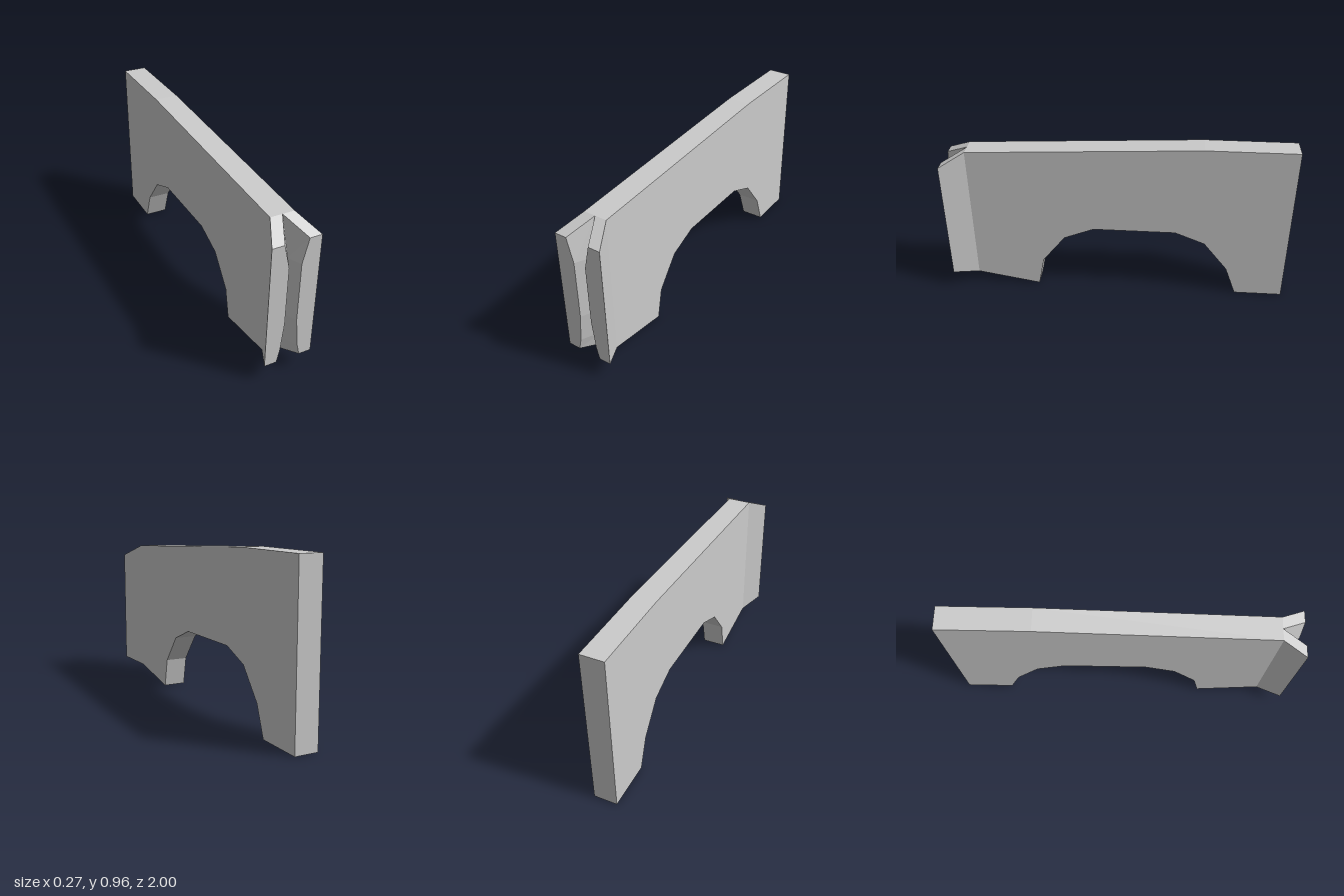
import * as THREE from 'three';

const HALF = 0.068;   // half thickness of the panel
const JOINT = 0.86;   // z where the panel meets the forked front edge

// Flat arched panel, drawn as (z, y) and extruded across x
function panelGeometry() {
  const outline = [
    [-1, 0], [-0.72, 0],
    // arch cut-out
    [-0.655, 0.175], [-0.515, 0.35], [-0.34, 0.42], [0.14, 0.42], [0.315, 0.35], [0.45, 0.18], [0.485, 0.003],
    // front and sloping top
    [JOINT, 0.07], [JOINT, 0.9], [-0.48, 0.965], [-1, 0.965],
  ];
  const shape = new THREE.Shape(outline.map(([z, y]) => new THREE.Vector2(z, y)));
  const geometry = new THREE.ExtrudeGeometry(shape, { depth: 2 * HALF, bevelEnabled: false });
  return geometry.rotateY(-Math.PI / 2).translate(HALF, 0, 0);
}

// Flared front edge with a V groove: horizontal sections joined from bottom to top
function forkGeometry() {
  // [y at the front, y at the joint, half width of groove, z of groove floor]
  const rows = [
    [0.105, 0.07, 0.068, JOINT],
    [0.175, 0.175, 0.052, 0.895],
    [0.345, 0.345, 0.035, 0.93],
    [0.69, 0.69, 0.035, 0.93],
    [0.83, 0.9, 0.068, JOINT],
  ].map(([yf, yb, w, zc]) => [
    [HALF, yb, JOINT], [0.137, yf, 1], [w, yf, 1],
    [0, yb, zc],
    [-w, yf, 1], [-0.137, yf, 1], [-HALF, yb, JOINT],
  ]);
  const positions = [];
  const quad = (a, b, c, d) => positions.push(...a, ...b, ...c, ...a, ...c, ...d);

  for (let j = 0; j < rows.length - 1; j++) {
    const low = rows[j], up = rows[j + 1];
    for (let i = 0; i < 6; i++) quad(low[i + 1], low[i], up[i], up[i + 1]);
  }
  // Sloping end caps, one per prong
  const bottom = rows[0], top = rows[rows.length - 1];
  for (const i of [0, 3]) {
    quad(top[i + 3], top[i + 2], top[i + 1], top[i]);
    quad(bottom[i], bottom[i + 1], bottom[i + 2], bottom[i + 3]);
  }
  const geometry = new THREE.BufferGeometry();
  geometry.setAttribute('position', new THREE.Float32BufferAttribute(positions, 3));
  geometry.computeVertexNormals();
  return geometry;
}

export function createModel() {
  const group = new THREE.Group();
  group.name = 'archedPanel';
  const material = new THREE.MeshStandardMaterial({ color: 0xcccccc, flatShading: true });
  const add = (name, geometry) => {
    const mesh = new THREE.Mesh(geometry, material);
    mesh.name = name;
    group.add(mesh);
  };
  add('panel', panelGeometry());
  add('forkedFrontEdge', forkGeometry());
  return group;
}
